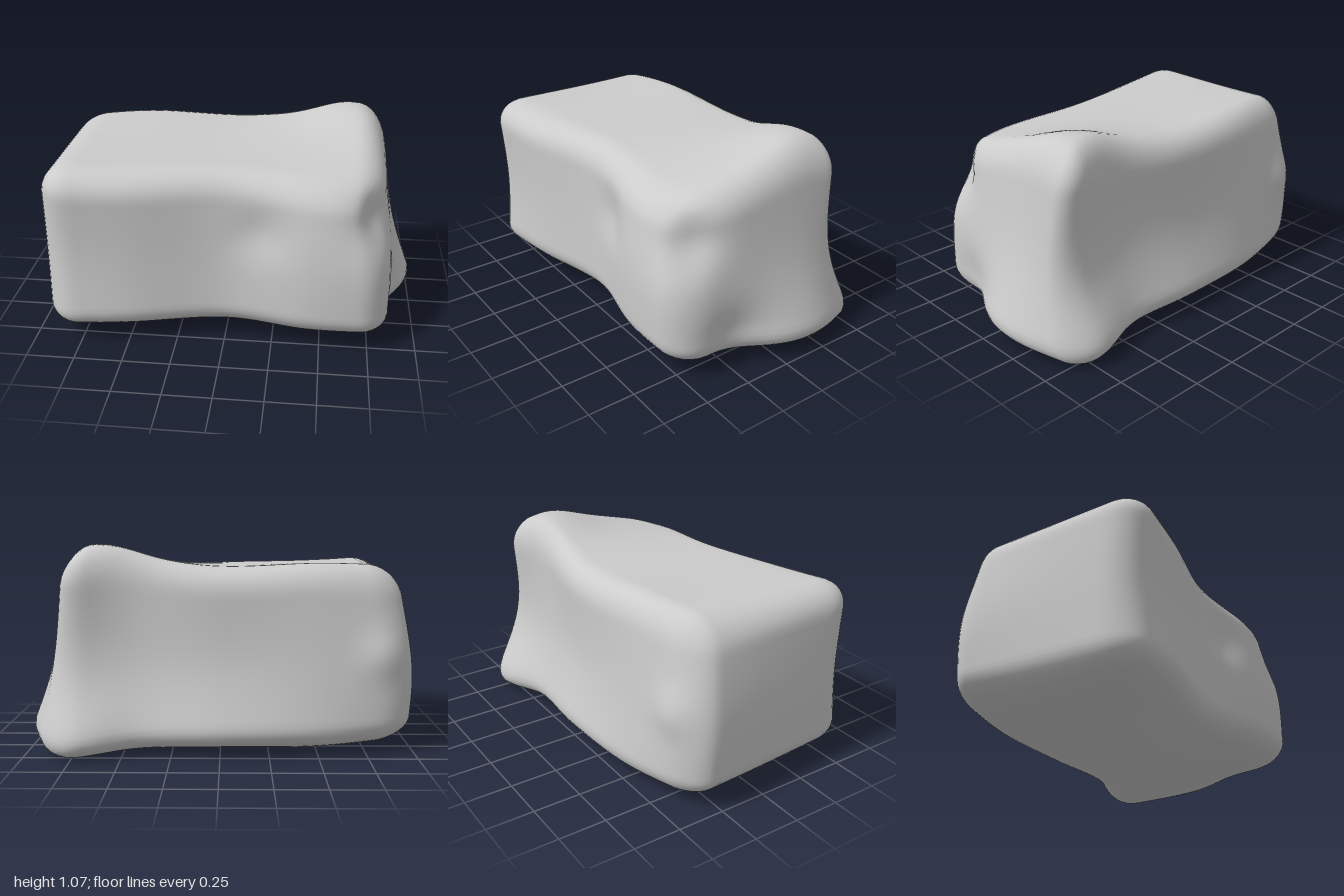
import * as THREE from 'three';
import { mergeVertices } from 'three/addons/utils/BufferGeometryUtils.js';

// Control lattice: slices from -x to +x, rows bottom / middle / top, points back / middle / front
const LATTICE = [
  [[[-0.99, 0.08, -0.4], [-0.96, 0.06, 0.0], [-0.92, 0.07, 0.65]],
    [[-1.01, 0.45, -0.41], [-0.96, 0.5, 0.05], [-0.92, 0.5, 0.61]],
    [[-0.91, 0.97, -0.34], [-0.92, 0.97, 0.05], [-0.92, 0.99, 0.65]]],
  [[[-0.5, 0.05, -0.53], [-0.5, 0.04, 0.0], [-0.5, 0.08, 0.6]],
    [[-0.5, 0.48, -0.47], [-0.5, 0.5, 0.0], [-0.5, 0.5, 0.58]],
    [[-0.5, 0.99, -0.43], [-0.5, 0.97, 0.0], [-0.5, 0.96, 0.59]]],
  [[[0.0, 0.05, -0.57], [0.0, 0.04, 0.0], [0.0, 0.09, 0.5]],
    [[0.0, 0.48, -0.46], [0.0, 0.5, 0.0], [0.0, 0.5, 0.49]],
    [[0.0, 0.97, -0.46], [0.0, 0.965, 0.0], [0.0, 0.95, 0.48]]],
  [[[0.45, 0.03, -0.54], [0.45, 0.04, 0.0], [0.45, 0.09, 0.58]],
    [[0.45, 0.48, -0.42], [0.45, 0.5, 0.0], [0.45, 0.5, 0.58]],
    [[0.45, 1.02, -0.41], [0.45, 0.99, -0.02], [0.45, 0.91, 0.52]]],
  [[[0.88, -0.02, -0.63], [1.04, 0.04, -0.15], [0.86, 0.08, 0.57]],
    [[0.84, 0.5, -0.46], [0.88, 0.5, -0.1], [0.84, 0.46, 0.57]],
    [[0.8, 1.0, -0.5], [0.79, 1.03, -0.1], [0.8, 0.87, 0.49]]],
];

// Local bulges and dents: centre, push, radius
const BUMPS = [
  [[0.6, 1.03, -0.28], [0, 0.06, 0], 0.26], // top peak
  [[0.66, 0.14, -0.56], [0, -0.01, -0.05], 0.22], // back foot
  [[0.8, 0.74, 0.46], [-0.06, -0.01, -0.06], 0.19], // chipped front corner
  [[0.94, 0.15, 0.24], [-0.08, 0, 0], 0.24], // hollow in the right end
  [[0.18, 0.64, 0.52], [0, 0, -0.03], 0.16], // front chip
  [[-0.83, 0.52, -0.42], [0, 0, -0.03], 0.14], // back knob
];

// Catmull-Rom through evenly spaced points, t from -1 to 1
function spline(points, t) {
  const n = points.length - 1;
  const s = ((t + 1) / 2) * n;
  const i = Math.min(n - 1, Math.max(0, Math.floor(s)));
  const f = s - i;
  const p1 = points[i], p2 = points[i + 1];
  const p0 = points[i - 1], p3 = points[i + 2];
  return p1.map((b, k) => {
    const c = p2[k];
    const a = p0 ? p0[k] : 2 * b - c;
    const d = p3 ? p3[k] : 2 * c - b;
    return b + 0.5 * f * (c - a + f * (2 * a - 5 * b + 4 * c - d + f * (3 * (b - c) + d - a)));
  });
}

function warp(u, v, w) {
  const p = spline(LATTICE.map((slice) => spline(slice.map((row) => spline(row, w)), v)), u);
  const out = [...p];
  for (const [centre, push, radius] of BUMPS) {
    const d2 = centre.reduce((sum, c, k) => sum + (p[k] - c) ** 2, 0);
    const g = Math.exp((-1.5 * d2) / (radius * radius));
    push.forEach((amount, k) => { out[k] += amount * g; });
  }
  return out;
}

function boulderGeometry() {
  let geo = new THREE.BoxGeometry(2, 2, 2, 44, 28, 30);
  geo.deleteAttribute('uv');
  geo.deleteAttribute('normal');
  geo = mergeVertices(geo);

  // Round the block's edges, then bend it through the lattice
  const pos = geo.attributes.position;
  const radius = new THREE.Vector3(0.2, 0.3, 0.3);
  const core = new THREE.Vector3(1, 1, 1).sub(radius);
  const coreMin = core.clone().negate();
  const p = new THREE.Vector3(), inner = new THREE.Vector3();
  for (let i = 0; i < pos.count; i++) {
    p.fromBufferAttribute(pos, i);
    inner.copy(p).clamp(coreMin, core);
    p.sub(inner).divide(radius).normalize().multiply(radius).add(inner);
    pos.setXYZ(i, ...warp(p.x, p.y, p.z));
  }
  geo.computeVertexNormals();
  return geo;
}

export function createModel() {
  const group = new THREE.Group();
  group.name = 'rock';
  const boulder = new THREE.Mesh(boulderGeometry(), new THREE.MeshStandardMaterial({ color: 0xcccccc }));
  boulder.name = 'boulder';
  group.add(boulder);
  return group;
}
